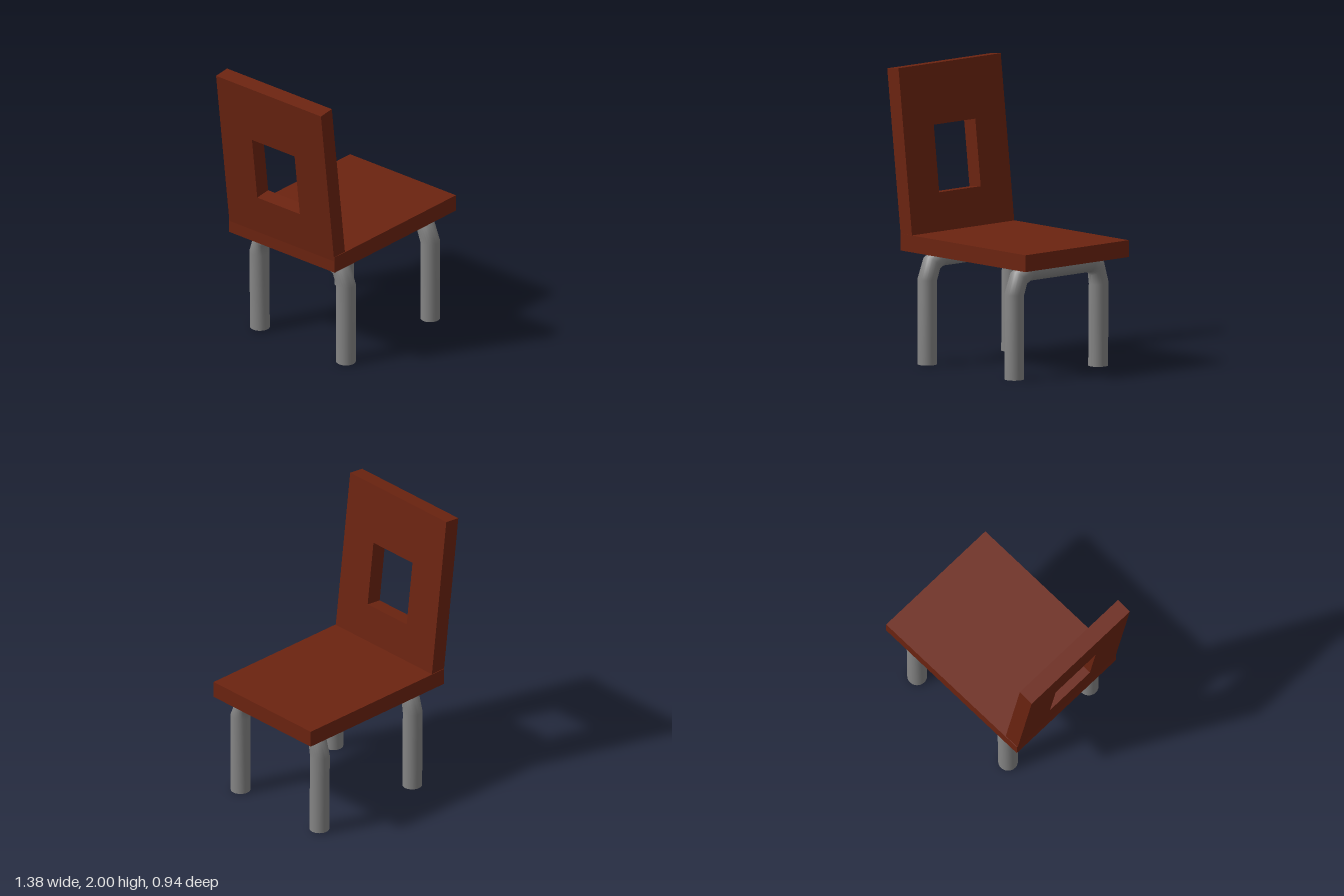
import * as THREE from 'three';

const RADIUS = 0.067;
const SIDES = 24;

// Bent pipe in the z-y plane; each ring is [z, y, heading angle], closed with flat caps
function bentPipe(rings) {
  const pos = [], index = [];
  const addRing = ([z, y, a]) => {
    for (let i = 0; i <= SIDES; i++) {
      const t = (i / SIDES) * Math.PI * 2;
      const across = Math.cos(t) * RADIUS;
      pos.push(Math.sin(t) * RADIUS, y - across * Math.cos(a), z + across * Math.sin(a));
    }
  };
  rings.forEach(addRing);
  const row = SIDES + 1;
  for (let r = 0; r < rings.length - 1; r++) {
    for (let i = 0; i < SIDES; i++) {
      const a = r * row + i, b = a + row;
      index.push(a, b, a + 1, a + 1, b, b + 1);
    }
  }
  // End caps with their own vertices so the rims stay sharp
  [rings[0], rings[rings.length - 1]].forEach((ring, end) => {
    const start = pos.length / 3;
    addRing(ring);
    const centre = pos.length / 3;
    pos.push(0, ring[1], ring[0]);
    for (let i = start; i < start + SIDES; i++) {
      index.push(centre, end ? i + 1 : i, end ? i : i + 1);
    }
  });
  const geo = new THREE.BufferGeometry();
  geo.setAttribute('position', new THREE.Float32BufferAttribute(pos, 3));
  geo.setIndex(index);
  geo.computeVertexNormals();
  return geo;
}

export function createModel() {
  const chair = new THREE.Group();
  chair.name = 'chair';
  const wood = new THREE.MeshStandardMaterial({ color: 0x6b2310 });
  wood.name = 'reddish brown wood';
  const metal = new THREE.MeshStandardMaterial({ color: 0x848484, side: THREE.DoubleSide });
  metal.name = 'grey metal';

  const add = (name, geo, mat, x, y, z) => {
    const mesh = new THREE.Mesh(geo, mat);
    mesh.name = name;
    mesh.position.set(x, y, z);
    chair.add(mesh);
    return mesh;
  };

  // Seat slab
  add('seat', new THREE.BoxGeometry(1.245, 0.115, 0.945), wood, 0.0675, 0.8175, -0.002);

  // Leaning backrest with a rectangular opening, sunk into the seat
  const panel = new THREE.Shape();
  panel.moveTo(-0.468, -0.07).lineTo(0.468, -0.07).lineTo(0.468, 1.133).lineTo(-0.468, 1.133).closePath();
  const hole = new THREE.Path();
  hole.moveTo(-0.19, 0.262).lineTo(-0.19, 0.72).lineTo(0.19, 0.72).lineTo(0.19, 0.262).closePath();
  panel.holes.push(hole);
  const back = new THREE.ExtrudeGeometry(panel, { depth: 0.113, bevelEnabled: false });
  back.translate(0, 0, -0.113);
  back.rotateY(Math.PI / 2);
  add('backrest', back, wood, -0.445, 0.875, -0.002).rotation.z = 0.119;

  // Two bent-pipe leg frames
  const up = Math.PI / 2;
  const frame = [
    [-0.365, 0.01, up], [-0.37, 0.575, up - 0.08], [-0.345, 0.682, 0.75], [-0.278, 0.725, 0],
    [0.278, 0.725, 0], [0.361, 0.685, -0.78], [0.403, 0.577, -up + 0.05], [0.403, 0, -up],
  ];
  add('rearLegs', bentPipe(frame), metal, -0.362, 0, 0);
  add('frontLegs', bentPipe(frame), metal, 0.504, 0, 0);
  return chair;
}
